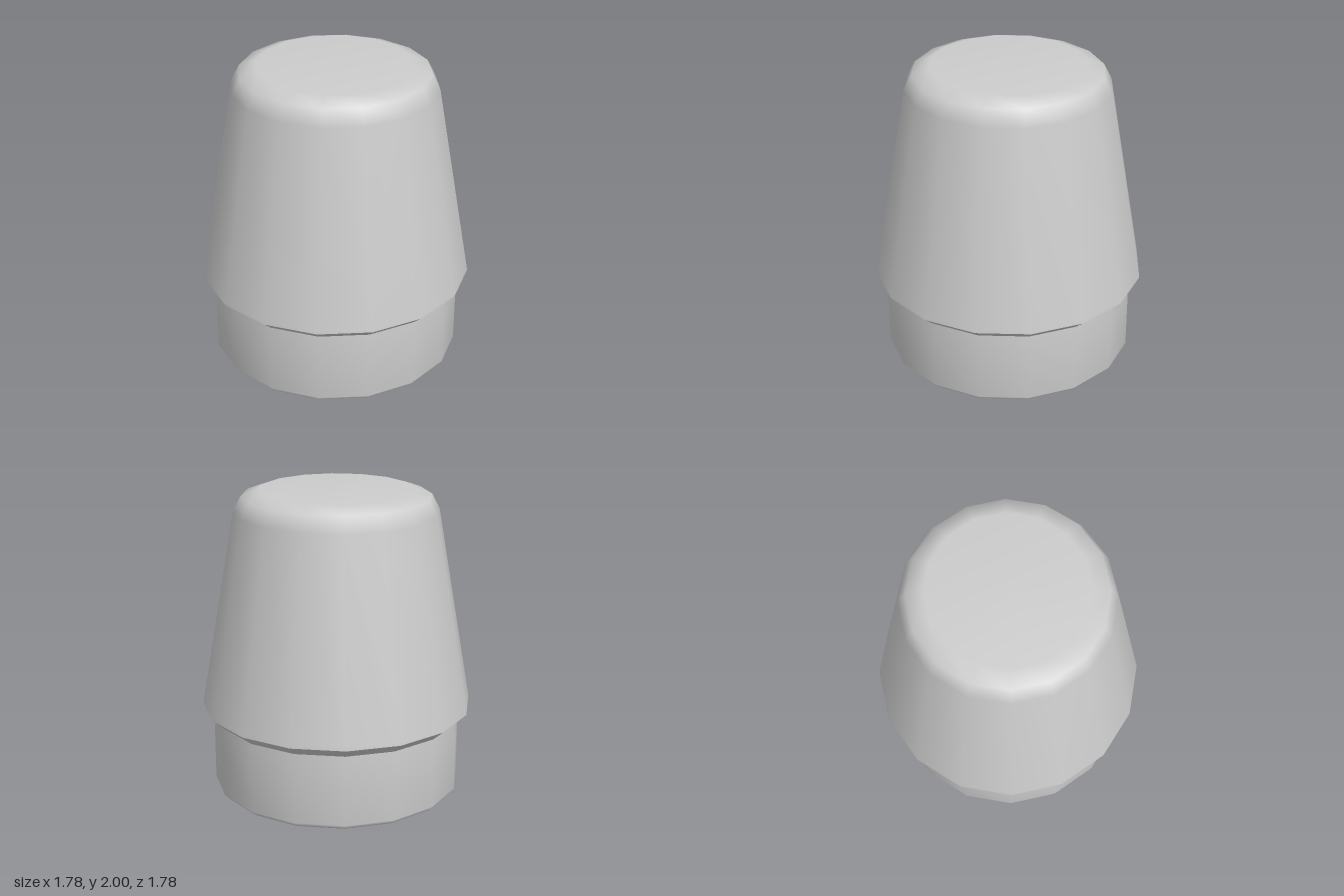
import * as THREE from 'three';

const SIDES = 16;

export function createModel() {
  const group = new THREE.Group();
  const grey = new THREE.MeshStandardMaterial({ color: 0xcccccc });
  grey.name = 'light grey';

  // Each turned section is its own mesh, so the edges between them stay sharp
  const turned = (name, profile) => {
    const points = profile.map(([r, y]) => new THREE.Vector2(r, y));
    const mesh = new THREE.Mesh(new THREE.LatheGeometry(points, SIDES), grey);
    mesh.name = name;
    group.add(mesh);
  };

  // Flat underside
  turned('underside', [[0, 0], [0.785, 0]]);
  // Short base with a small bevel at its foot
  turned('base', [[0.785, 0], [0.818, 0.035], [0.818, 0.37], [0.81, 0.5]]);
  // Flared underside of the cap
  turned('collar', [[0.81, 0.5], [0.888, 0.568]]);
  // Tapered cap with a rounded shoulder and flat top
  turned('cap', [[0.888, 0.568], [0.885, 0.59], [0.662, 1.86], [0.61, 1.96], [0.5, 2], [0, 2]]);

  return group;
}
